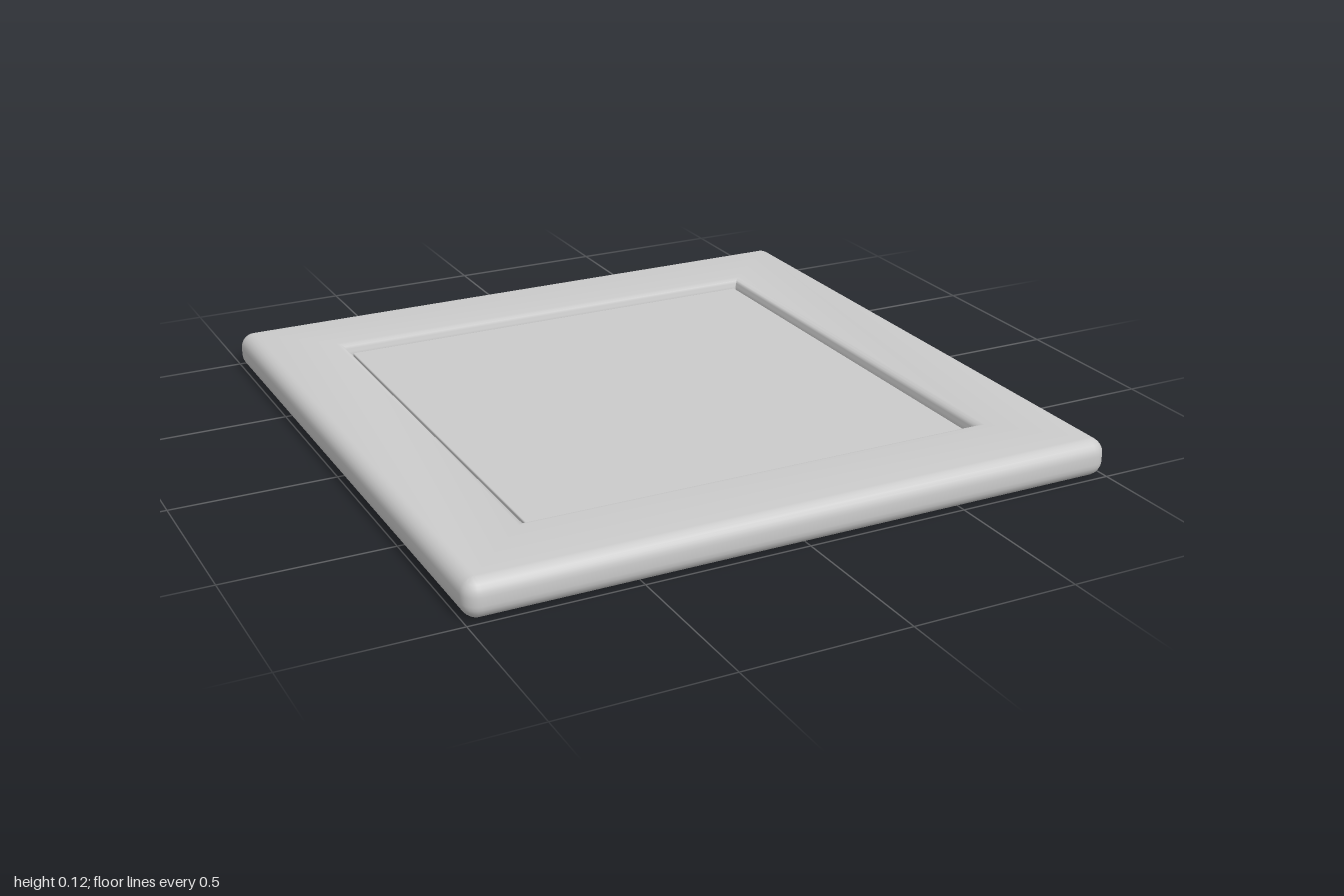
import * as THREE from 'three';
import { toCreasedNormals } from 'three/addons/utils/BufferGeometryUtils.js';
import { RoundedBoxGeometry } from 'three/addons/geometries/RoundedBoxGeometry.js';

const HEIGHT = 0.115, EDGE = 0.045, STEPS = 6;

// Square loop of half-size h with corners rounded by r, at height y
function squareLoop({ h, y, r }) {
  const points = [];
  for (let corner = 0; corner < 4; corner++) {
    const mid = (corner + 0.5) * Math.PI / 2;
    const cx = Math.sign(Math.cos(mid)) * (h - r);
    const cz = Math.sign(Math.sin(mid)) * (h - r);
    for (let i = 0; i <= STEPS; i++) {
      const a = (corner + i / STEPS) * Math.PI / 2;
      points.push([cx + r * Math.cos(a), y, cz + r * Math.sin(a)]);
    }
  }
  return points;
}

// Skin between successive loops, which run up the outside and then inward
function skin(profile) {
  const loops = profile.map(squareLoop), positions = [];
  for (let k = 0; k < loops.length - 1; k++) {
    const low = loops[k], high = loops[k + 1], n = low.length;
    for (let i = 0; i < n; i++) {
      const j = (i + 1) % n;
      if (profile[k].h > 0) positions.push(...low[i], ...high[j], ...low[j]);
      if (profile[k + 1].h > 0) positions.push(...low[i], ...high[i], ...high[j]);
    }
  }
  const geometry = new THREE.BufferGeometry();
  geometry.setAttribute('position', new THREE.Float32BufferAttribute(positions, 3));
  return toCreasedNormals(geometry, 0.7);
}

export function createModel() {
  const group = new THREE.Group();
  group.name = 'framedPanel';
  const material = new THREE.MeshStandardMaterial({ color: 0xcccccc });
  const add = (name, geometry) => {
    const mesh = new THREE.Mesh(geometry, material);
    mesh.name = name;
    group.add(mesh);
    return mesh;
  };

  // Frame: flat underside, rounded outer edge, flat border, soft inner lip, recess
  const profile = [{ h: 0, y: 0, r: 0 }];
  for (const top of [false, true]) {
    for (let i = 0; i <= STEPS; i++) {
      const a = (i / STEPS + (top ? 0 : -1)) * Math.PI / 2;
      const r = Math.max(EDGE * Math.cos(a), 0.002);
      profile.push({
        h: 1 - EDGE + r,
        y: (top ? HEIGHT - EDGE : EDGE) + EDGE * Math.sin(a),
        r,
      });
    }
  }
  const lip = 0.025;
  for (let i = 0; i <= 4; i++) {
    const a = i / 4 * Math.PI / 2;
    profile.push({
      h: 0.72 + lip * (1 - Math.sin(a)),
      y: HEIGHT - lip * (1 - Math.cos(a)),
      r: 0.002,
    });
  }
  profile.push({ h: 0.72, y: 0.075, r: 0.002 }, { h: 0, y: 0.075, r: 0 });
  add('frame', skin(profile));

  // Inset panel, separated from the frame by a narrow groove
  const panel = add('insetPanel', new RoundedBoxGeometry(1.41, 0.04, 1.41, 2, 0.004));
  panel.position.y = 0.07;

  return group;
}
